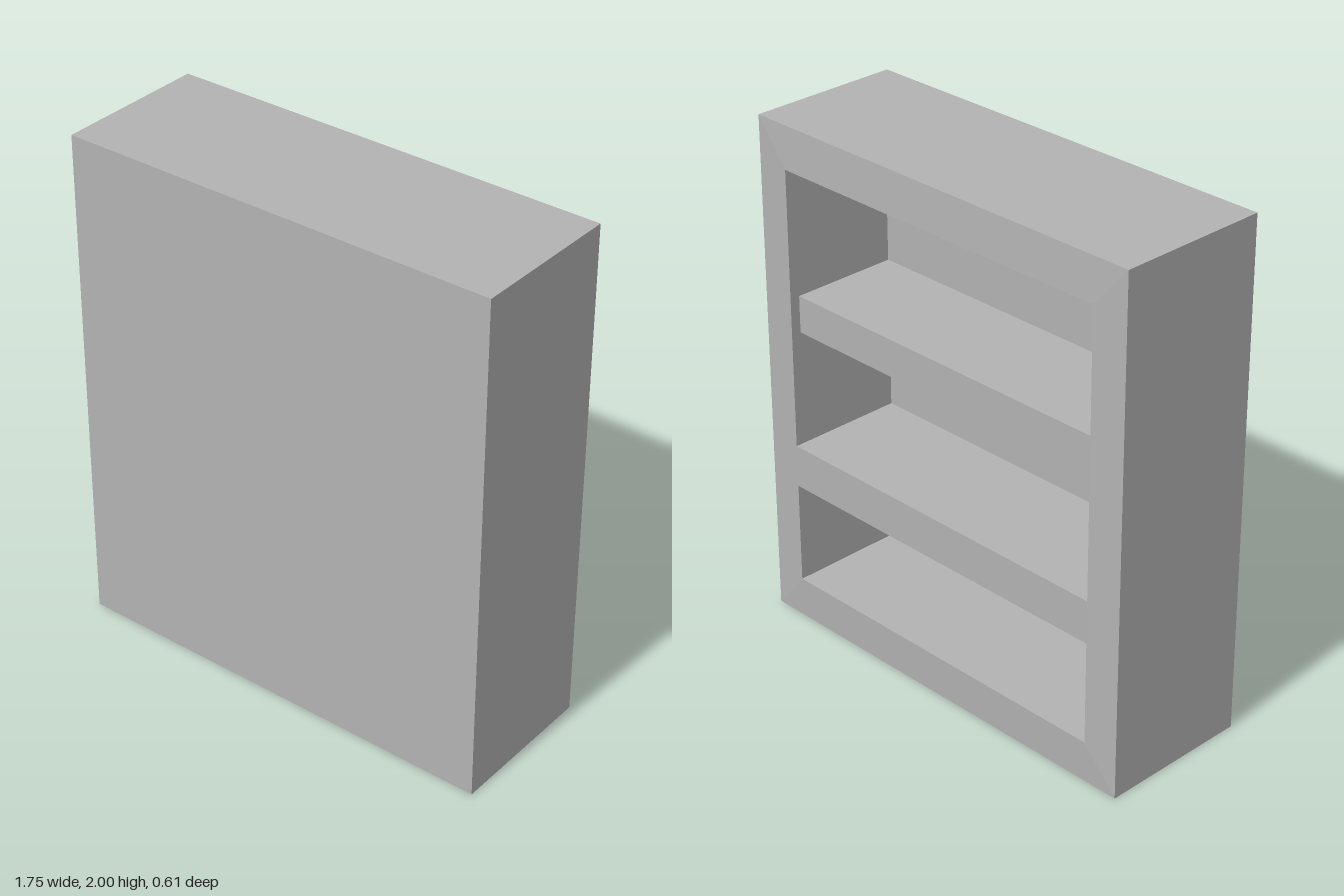
import * as THREE from 'three';

const W = 0.875, H = 2, BACK = -0.305, PANEL = 0.165, FRONT = 0.305;
const INNER = 0.735;

// Rectangle traced around x = 0
function rect(path, halfWidth, y0, y1) {
  path.moveTo(-halfWidth, y0);
  path.lineTo(halfWidth, y0);
  path.lineTo(halfWidth, y1);
  path.lineTo(-halfWidth, y1);
  path.closePath();
  return path;
}

export function createModel() {
  const group = new THREE.Group();
  group.name = 'bookcase';
  const grey = new THREE.MeshStandardMaterial({ color: 0xb2b2b2 });
  grey.name = 'grey';

  const add = (name, geometry) => {
    const mesh = new THREE.Mesh(geometry, grey);
    mesh.name = name;
    group.add(mesh);
    return mesh;
  };

  // Frame with two openings; the crossbar between them is the fixed shelf
  const outline = rect(new THREE.Shape(), W, 0, H);
  for (const [y0, y1] of [[0.166, 0.571], [0.739, 1.836]]) {
    outline.holes.push(rect(new THREE.Path(), INNER, y0, y1));
  }
  const frame = new THREE.ExtrudeGeometry(outline, { depth: PANEL - BACK, bevelEnabled: false });
  frame.translate(0, 0, BACK);

  // Outer rim of the open side falls back very slightly
  const p = frame.attributes.position;
  for (let i = 0; i < p.count; i++) {
    const onRim = Math.abs(p.getX(i)) > W - 0.01 || p.getY(i) < 0.01 || p.getY(i) > H - 0.01;
    if (onRim && p.getZ(i) < BACK + 0.01) p.setZ(i, BACK + 0.007);
  }
  frame.computeVertexNormals();
  add('frame', frame);

  // Solid panel closing the other side
  add('panel', new THREE.BoxGeometry(2 * W, H, FRONT - PANEL))
    .position.set(0, H / 2, (FRONT + PANEL) / 2);

  // Upper shelf, set in a little from the opening
  const shelfEdge = BACK + 0.04;
  add('upperShelf', new THREE.BoxGeometry(2 * INNER, 0.145, PANEL - shelfEdge))
    .position.set(0, 1.264, (PANEL + shelfEdge) / 2);

  return group;
}
